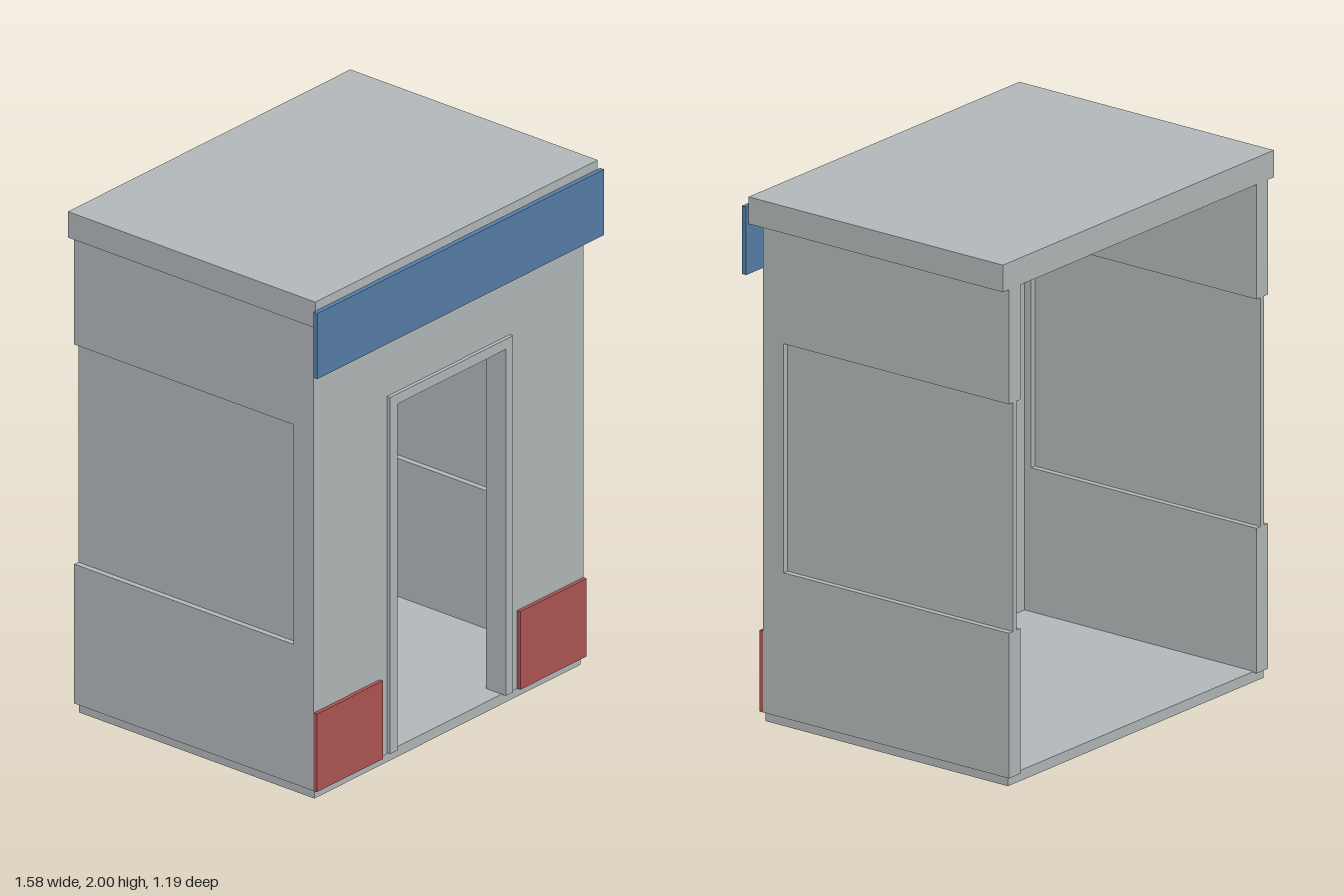
import * as THREE from 'three';

export function createModel() {
  const model = new THREE.Group();
  model.name = 'kiosk';

  const mat = (name, color) => {
    const m = new THREE.MeshStandardMaterial({ color });
    m.name = name;
    return m;
  };
  const gray = mat('wall gray', 0xb4babc);
  const blue = mat('sign blue', 0x5880aa);
  const red = mat('panel red', 0xb05654);

  const add = (name, geometry, material) => {
    const mesh = new THREE.Mesh(geometry, material);
    mesh.name = name;
    model.add(mesh);
    return mesh;
  };
  // Box given by its minimum and maximum on each axis
  const box = (name, [x0, x1], [y0, y1], [z0, z1], material) => {
    const g = new THREE.BoxGeometry(x1 - x0, y1 - y0, z1 - z0);
    g.translate((x0 + x1) / 2, (y0 + y1) / 2, (z0 + z1) / 2);
    return add(name, g, material);
  };
  const outline = (points) => new THREE.Shape(points.map(([x, y]) => new THREE.Vector2(x, y)));
  const extrude = (points, depth) =>
    new THREE.ExtrudeGeometry(outline(points), { depth, bevelEnabled: false });

  const W = 0.745, T = 0.065, BACK = -0.593, FRONT = 0.535;
  const BASE = 0.035, EAVE = 1.897;

  // Floor and roof slabs
  box('floor', [-0.735, 0.735], [0, 0.04], [-0.58, 0.53], gray);
  box('roof', [-0.78, 0.78], [EAVE, 2], [BACK, 0.573], gray);

  // Front wall with the doorway cut out of its lower edge
  const inner = W - T;
  const frontWall = extrude([
    [-inner, BASE], [-0.34, BASE], [-0.34, 1.455], [0.34, 1.455],
    [0.34, BASE], [inner, BASE], [inner, EAVE], [-inner, EAVE],
  ], T);
  frontWall.translate(0, 0, FRONT - T);
  add('frontWall', frontWall, gray);

  // Door frame, proud of the wall on both faces
  const frame = extrude([
    [-0.34, 0.04], [-0.3, 0.04], [-0.3, 1.415], [0.3, 1.415],
    [0.3, 0.04], [0.34, 0.04], [0.34, 1.455], [-0.34, 1.455],
  ], 0.095);
  frame.translate(0, 0, 0.455);
  add('doorFrame', frame, gray);

  for (const [label, s] of [['left', 1], ['right', -1]]) {
    // Side wall, open toward the back, with a thin recessed panel
    const wall = extrude([
      [BACK, BASE], [FRONT, BASE], [FRONT, EAVE], [BACK, EAVE],
      [BACK, 1.46], [0.44, 1.46], [0.44, 0.588], [BACK, 0.588],
    ], T);
    wall.rotateY(-Math.PI / 2);
    wall.translate(s > 0 ? W : -inner, 0, 0);
    add(label + 'SideWall', wall, gray);

    const mid = s * (W - T / 2);
    box(label + 'SidePanel', [mid - 0.01, mid + 0.01], [0.588, 1.46], [BACK, 0.44], gray);

    // Red plate beside the doorway
    const xs = s > 0 ? [0.38, W] : [-W, -0.38];
    box(label + 'FrontPlate', xs, [BASE, 0.345], [FRONT, 0.55], red);
  }

  // Sign board across the front of the roof
  box('signBoard', [-0.792, 0.792], [1.705, 1.965], [0.574, 0.593], blue);

  return model;
}
